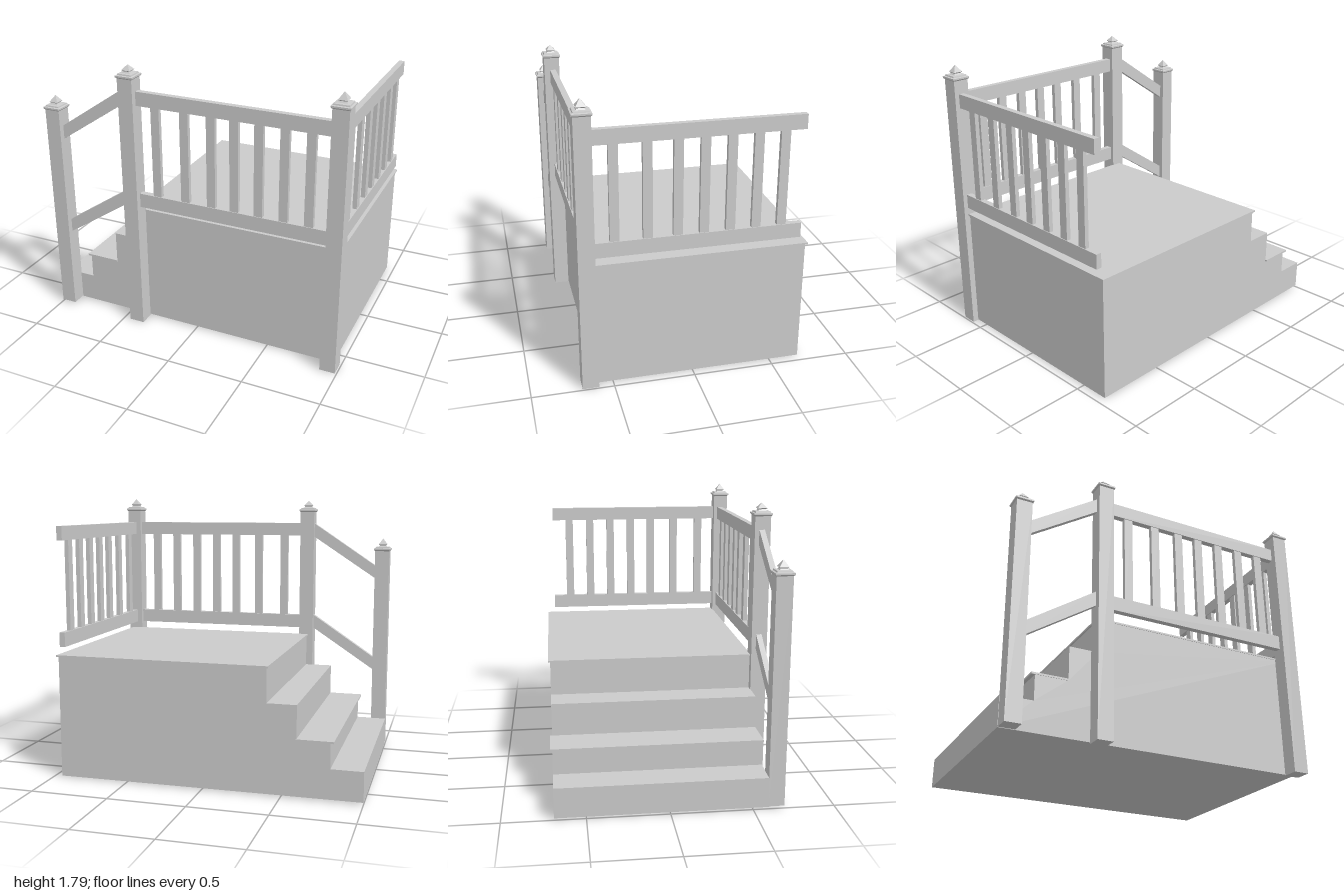
import * as THREE from 'three';

const material = new THREE.MeshStandardMaterial({ color: 0xcccccc, flatShading: true });

function add(parent, name, geometry) {
  const mesh = new THREE.Mesh(geometry, material);
  mesh.name = name;
  parent.add(mesh);
  return mesh;
}

// Box given by its limits on each axis
function box(parent, name, x0, x1, y0, y1, z0, z1) {
  const mesh = add(parent, name, new THREE.BoxGeometry(x1 - x0, y1 - y0, z1 - z0));
  mesh.position.set((x0 + x1) / 2, (y0 + y1) / 2, (z0 + z1) / 2);
  return mesh;
}

// Outline in x, y extruded from z0 to z1
function slab(parent, name, outline, z0, z1) {
  const shape = new THREE.Shape(outline.map(([x, y]) => new THREE.Vector2(x, y)));
  const geometry = new THREE.ExtrudeGeometry(shape, { depth: z1 - z0, bevelEnabled: false });
  geometry.translate(0, 0, z0);
  return add(parent, name, geometry);
}

// Square post with a moulded cap and a pointed finial
function post(parent, name, x, bottom, top, finialHeight) {
  const group = new THREE.Group();
  group.name = name;
  parent.add(group);
  const z = 0.642;
  box(group, 'postShaft', x - 0.05, x + 0.05, bottom, top, z - 0.05, z + 0.05);
  const profile = [
    [0, 0], [0.05, 0], [0.058, 0.008], [0.058, 0.018], [0.048, 0.021],
    [0.046, 0.029], [0.027, 0.031], [0.021, 0.04], [0.029, 0.047], [0, finialHeight],
  ].map(([half, y]) => new THREE.Vector2(half * Math.SQRT2, y));
  const cap = add(group, 'postCap', new THREE.LatheGeometry(profile, 4, Math.PI / 4));
  cap.position.set(x, top - 0.005, z);
}

export function createModel() {
  const model = new THREE.Group();
  model.name = 'porchSteps';

  // Solid platform with steps
  slab(model, 'platformBody', [
    [-1, 0.012], [0.95, 0.005], [0.95, 0.79], [-0.41, 0.79], [-0.41, 0.575],
    [-0.595, 0.575], [-0.595, 0.36], [-0.8, 0.36], [-0.8, 0.2], [-1, 0.2],
  ], -0.69, 0.595);

  // Thin overhanging boards
  box(model, 'platformBoard', -0.42, 0.96, 0.79, 0.802, -0.703, 0.598);
  box(model, 'stepBoard', -0.822, -0.592, 0.358, 0.37, -0.703, 0.598);

  // Posts
  post(model, 'stairPost', -0.948, 0.015, 1.425, 0.088);
  post(model, 'middlePost', -0.405, 0, 1.7, 0.08);
  post(model, 'cornerPost', 0.939, 0, 1.705, 0.09);

  // Level rails along the front and the right side
  const front = new THREE.Group();
  front.name = 'frontRailing';
  const side = new THREE.Group();
  side.name = 'sideRailing';
  model.add(front, side);
  for (const [y0, y1] of [[0.847, 0.94], [1.525, 1.615]]) {
    box(front, 'rail', -0.36, 0.895, y0, y1, 0.617, 0.655);
    box(side, 'rail', 0.923, 0.96, y0, y1, -0.65, 0.6);
  }

  // Balusters
  for (const x of [-0.23, -0.036, 0.14, 0.291, 0.448, 0.608, 0.767]) {
    box(front, 'baluster', x - 0.028, x + 0.028, 0.935, 1.53, 0.622, 0.65);
  }
  for (const z of [0.473, 0.28, 0.102, -0.054, -0.212, -0.369, -0.526]) {
    box(side, 'baluster', 0.928, 0.955, 0.935, 1.53, z - 0.028, z + 0.028);
  }

  // Sloping stair rails
  for (const y of [0.552, 1.22]) {
    slab(model, 'stairRail', [
      [-0.905, y], [-0.45, y + 0.3], [-0.45, y + 0.395], [-0.905, y + 0.09],
    ], 0.62, 0.655);
  }

  return model;
}
